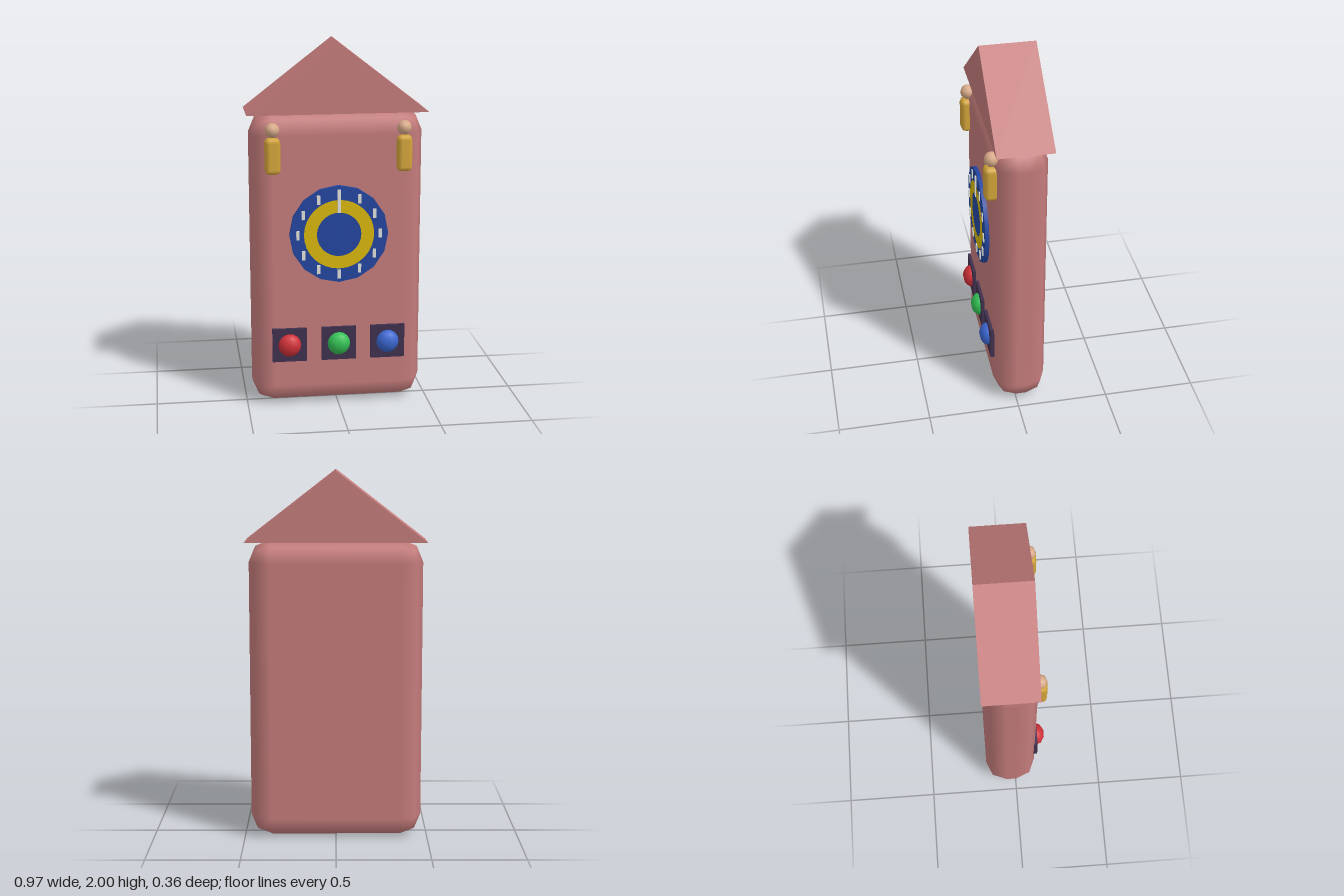
import * as THREE from 'three';
import { RoundedBoxGeometry } from 'three/addons/geometries/RoundedBoxGeometry.js';

const mat = (name, color) => {
  const m = new THREE.MeshStandardMaterial({ color });
  m.name = name;
  return m;
};

export function createModel() {
  const model = new THREE.Group();
  model.name = 'toyHouse';

  const pink = mat('dustyPink', 0xc47b7b);
  const gold = mat('gold', 0xd4a53a);
  const skin = mat('skin', 0xd8aa88);
  const dialBlue = mat('dialBlue', 0x2346a0);
  const yellow = mat('yellow', 0xd9b80c);
  const white = mat('offWhite', 0xe0e0dc);
  const plum = mat('darkPlum', 0x40304e);
  const lamps = [mat('red', 0xcf3038), mat('green', 0x32c054), mat('blue', 0x3a66d0)];

  const add = (name, geometry, material, x, y, z, parent = model) => {
    const mesh = new THREE.Mesh(geometry, material);
    mesh.name = name;
    mesh.position.set(x, y, z);
    parent.add(mesh);
    return mesh;
  };

  // Slab body with broad faceted edges
  add('body', new RoundedBoxGeometry(0.934, 1.628, 0.287, 1, 0.115), pink, 0, 0.814, -0.0275);

  // Gable roof
  const gable = new THREE.Shape([
    new THREE.Vector2(-0.485, 1.625),
    new THREE.Vector2(0.485, 1.625),
    new THREE.Vector2(0, 2),
  ]);
  add('roof', new THREE.ExtrudeGeometry(gable, { depth: 0.298, bevelEnabled: false }), pink, 0, 0, -0.18);

  // Dial with ring, hour marks and hand
  const dial = new THREE.Group();
  dial.name = 'dial';
  dial.position.set(0, 0.977, 0);
  model.add(dial);
  const disc = new THREE.CylinderGeometry(0.267, 0.267, 0.04, 16).rotateX(Math.PI / 2);
  add('dialDisc', disc, dialBlue, 0, 0, 0.118, dial);
  add('dialRing', new THREE.RingGeometry(0.12, 0.19, 32), yellow, 0, 0, 0.141, dial);
  const mark = new THREE.BoxGeometry(0.018, 0.05, 0.009);
  for (let i = 0; i < 12; i++) {
    const a = (i / 12) * Math.PI * 2;
    add('hourMark', mark, white, Math.sin(a) * 0.222, Math.cos(a) * 0.222, 0.1395, dial);
  }
  add('dialHand', new THREE.BoxGeometry(0.016, 0.12, 0.009), white, 0, 0.18, 0.1415, dial);

  // Push buttons on square plates
  const plate = new THREE.BoxGeometry(0.188, 0.188, 0.04);
  const knob = new THREE.SphereGeometry(0.065, 10, 8).scale(1, 1, 0.8);
  lamps.forEach((material, i) => {
    const x = (i - 1) * 0.27;
    add('buttonPlate', plate, plum, x, 0.357, 0.112);
    add('button', knob, material, x, 0.357, 0.126);
  });

  // Little figures in the upper corners
  const figureBody = new RoundedBoxGeometry(0.082, 0.195, 0.082, 1, 0.025);
  const figureHead = new THREE.SphereGeometry(0.04, 8, 6);
  for (const side of [-1, 1]) {
    add('figureBody', figureBody, gold, side * 0.352, 1.41, 0.12);
    add('figureHead', figureHead, skin, side * 0.352, 1.546, 0.12);
  }

  return model;
}
